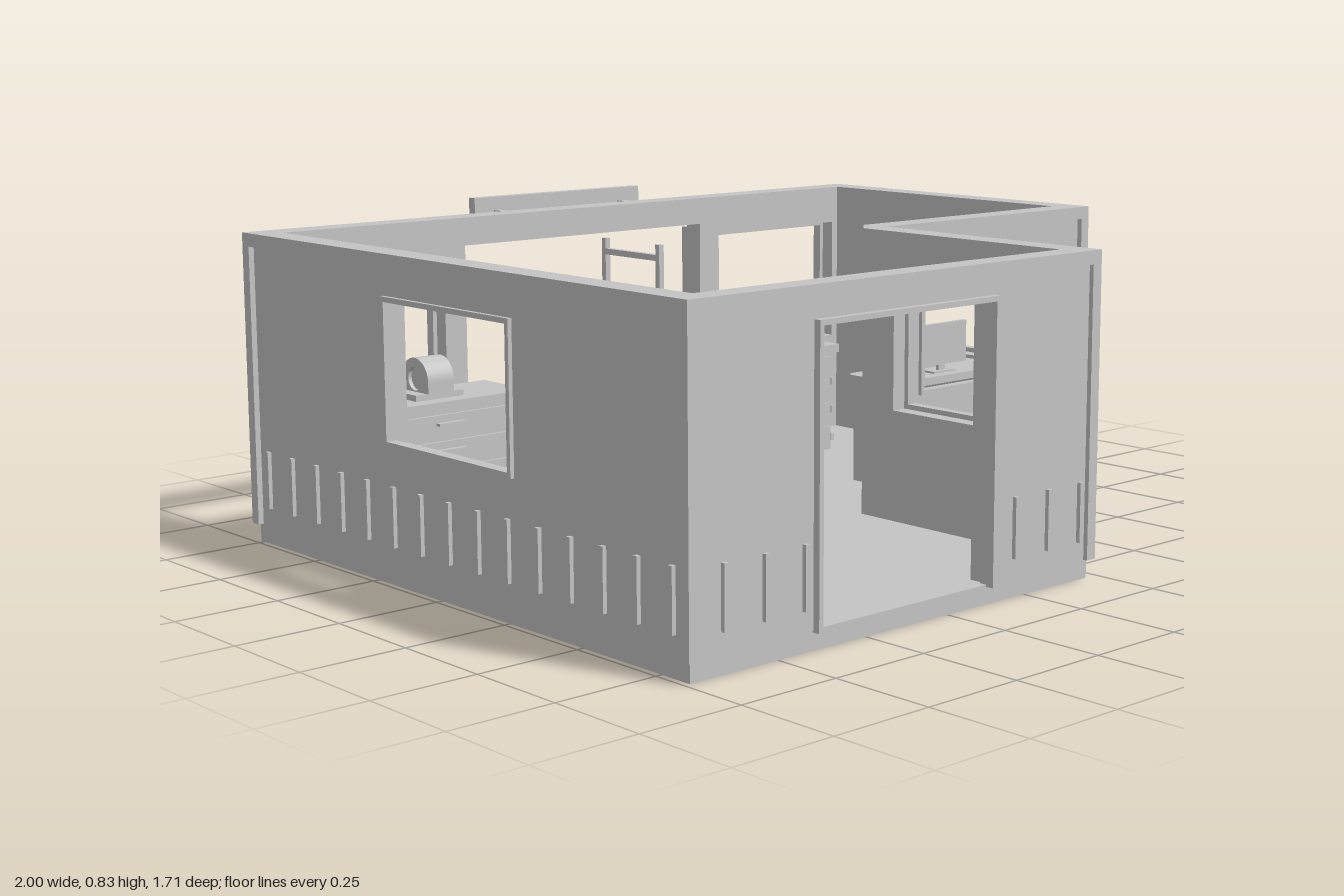
import * as THREE from 'three';

const grey = new THREE.MeshStandardMaterial({ color: 0xc4c4c4 });
grey.name = 'light grey';

function add(parent, geometry, name) {
  const mesh = new THREE.Mesh(geometry, grey);
  mesh.name = name;
  parent.add(mesh);
  return mesh;
}

// box given by its limits on each axis
function box(parent, name, x0, x1, y0, y1, z0, z1) {
  const m = add(parent, new THREE.BoxGeometry(x1 - x0, y1 - y0, z1 - z0), name);
  m.position.set((x0 + x1) / 2, (y0 + y1) / 2, (z0 + z1) / 2);
  return m;
}

function group(parent, name) {
  const g = new THREE.Group();
  g.name = name;
  parent.add(g);
  return g;
}

const points = (list) => list.map(([x, y]) => new THREE.Vector2(x, y));

// L-shaped plan, drawn as (x, -z) so it can be laid flat
const outline = (o) => points([
  [-1 + o, -0.85 + o], [0.23 - o, -0.85 + o], [0.23 - o, -0.18 + o],
  [1 - o, -0.18 + o], [1 - o, 0.78 - o], [-1 + o, 0.78 - o],
]);
// room side of the walls, with the inner corner cut off
const room = points([
  [-0.93, -0.785], [0.16, -0.785], [0.16, -0.165], [0.215, -0.11],
  [0.928, -0.11], [0.928, 0.708], [-0.93, 0.708],
]);

function flat(parent, name, shape, y0, y1) {
  const geo = new THREE.ExtrudeGeometry(shape, { depth: y1 - y0, bevelEnabled: false, curveSegments: 6 });
  add(parent, geo.rotateX(-Math.PI / 2), name).position.y = y0;
}

// raised border around an opening
function frame(parent, name, [u0, u1, y0, y1], w, depth, z0) {
  const g = group(parent, name);
  box(g, 'frameSide', u0, u0 + w, y0, y1, z0, z0 + depth);
  box(g, 'frameSide', u1 - w, u1, y0, y1, z0, z0 + depth);
  box(g, 'frameTop', u0, u1, y1 - w, y1, z0, z0 + depth);
  box(g, 'frameSill', u0, u1, y0, y0 + w, z0, z0 + depth);
}

// wall panel whose outer face is the local z = 0 plane, with windows, ribs and a doorway [from, to, top]
function wall(parent, name, u0, u1, windows, ribs, doorway) {
  const g = group(parent, name);
  const edge = [[u0, 0.045]];
  if (doorway) {
    const [a, b, t] = doorway;
    edge.push([a, 0.045], [a, t], [b, t], [b, 0.045]);
  }
  edge.push([u1, 0.045], [u1, 0.73], [u0, 0.73]);
  const shape = new THREE.Shape(points(edge));
  for (const [a, b, c, d] of windows) {
    shape.holes.push(new THREE.Path(points([[a, c], [a, d], [b, d], [b, c]])));
    frame(g, 'windowFrame', [a, b, c, d], 0.012, 0.026, -0.016);
  }
  add(g, new THREE.ExtrudeGeometry(shape, { depth: 0.055, bevelEnabled: false }), 'panel').position.z = -0.055;
  ribs.forEach((u) => box(g, 'rib', u - 0.006, u + 0.006, 0.09, 0.23, 0, 0.01));
  return g;
}

const series = (start, step, n) => Array.from({ length: n }, (_, i) => start + i * step);

// domed drum unit on a flat foot
function drumUnit(parent, x) {
  const g = group(parent, 'drumUnit');
  box(g, 'foot', x - 0.07, x + 0.07, 0.345, 0.36, -0.605, -0.5);
  const s = new THREE.Shape();
  s.moveTo(-0.056, 0).lineTo(0.056, 0).lineTo(0.056, 0.028);
  s.absarc(0, 0.028, 0.056, 0, Math.PI, false);
  s.lineTo(-0.056, 0);
  const hole = new THREE.Path();
  hole.absarc(0, 0.032, 0.029, 0, Math.PI * 2, true);
  s.holes.push(hole);
  const geo = new THREE.ExtrudeGeometry(s, { depth: 0.076, bevelEnabled: false, curveSegments: 16 });
  const shell = add(g, geo.rotateY(Math.PI / 2), 'drumShell');
  shell.position.set(x - 0.038, 0.36, -0.55);
  const core = add(g, new THREE.CylinderGeometry(0.03, 0.03, 0.056, 24).rotateZ(Math.PI / 2), 'drumCore');
  core.position.set(x, 0.392, -0.55);
}

// chest of drawers with a drum unit on top
function chest(parent, x0) {
  const g = group(parent, 'drawerChest');
  const x1 = x0 + 0.475;
  const mid = (x0 + x1) / 2;
  box(g, 'chestTop', x0, x1, 0.322, 0.345, -0.645, -0.455);
  box(g, 'chestBody', x0 + 0.02, x1 - 0.02, 0.045, 0.322, -0.635, -0.468);
  for (let i = 0; i < 4; i++) {
    const y = 0.055 + i * 0.066;
    box(g, 'drawerFront', x0 + 0.03, x1 - 0.03, y, y + 0.059, -0.468, -0.46);
    box(g, 'drawerHandle', mid - 0.04, mid + 0.04, y + 0.034, y + 0.041, -0.46, -0.445);
  }
  for (const y of [0.08, 0.16, 0.24]) {
    box(g, 'sideBump', x1 - 0.02, x1 - 0.008, y - 0.01, y + 0.01, -0.49, -0.465);
  }
  drumUnit(g, mid);
}

export function createModel() {
  const model = new THREE.Group();
  model.name = 'building';

  // floor and wall cap
  flat(model, 'floor', new THREE.Shape(outline(0.015)), 0, 0.045);
  const cap = new THREE.Shape(outline(0.001));
  cap.holes.push(new THREE.Path([...room].reverse()));
  flat(model, 'wallCap', cap, 0.725, 0.757);

  // walls
  const front = wall(model, 'frontWall', -0.985, 0.215, [], [-0.9, -0.79, -0.68, -0.04, 0.07, 0.18], [-0.65, -0.12, 0.68]);
  front.position.z = 0.838;
  box(front, 'doorJamb', -0.655, -0.643, 0.04, 0.685, -0.02, 0.017);
  box(front, 'doorJamb', -0.127, -0.115, 0.04, 0.685, -0.02, 0.017);
  box(front, 'doorHead', -0.655, -0.115, 0.673, 0.685, -0.02, 0.017);

  wall(model, 'wingFrontWall', 0.215, 0.985, [[0.36, 0.84, 0.32, 0.66]], series(0.28, 0.108, 7)).position.z = 0.165;

  const rightFront = wall(model, 'rightFrontWall', -0.838, -0.165, [[-0.75, -0.27, 0.32, 0.66]], series(-0.76, 0.108, 6));
  rightFront.position.x = 0.215;
  rightFront.rotation.y = Math.PI / 2;

  const wingSide = wall(model, 'wingSideWall', -0.165, 0.765, [[0.055, 0.535, 0.32, 0.66]], series(-0.06, 0.108, 8));
  wingSide.position.x = 0.985;
  wingSide.rotation.y = Math.PI / 2;

  const left = wall(model, 'leftWall', -0.765, 0.838, [[-0.2, 0.275, 0.32, 0.66]], series(-0.71, 0.107, 15));
  left.position.x = -0.985;
  left.rotation.y = -Math.PI / 2;

  const back = wall(model, 'backWall', -0.985, 0.985, [[-0.91, -0.465, 0.32, 0.655], [0.465, 0.91, 0.32, 0.655]],
    [...series(-0.92, 0.108, 5), ...series(0.488, 0.108, 5)], [-0.395, 0.4, 0.685]);
  back.position.z = -0.765;
  back.rotation.y = Math.PI;

  // inner corner fill and corner posts
  const wedge = new THREE.Shape(points([[0.16, -0.165], [0.215, -0.165], [0.215, -0.11]]));
  flat(model, 'cornerFill', wedge, 0.045, 0.73);
  for (const [x, z] of [[-0.985, 0.835], [0.215, 0.835], [0.985, 0.165], [0.985, -0.765], [-0.985, -0.765], [0.222, 0.172]]) {
    box(model, 'cornerPost', x - 0.014, x + 0.014, 0.045, 0.756, z - 0.014, z + 0.014);
  }

  // rear opening jambs and sign board
  for (const s of [-1, 1]) {
    box(model, 'rearJamb', s * 0.42 - 0.013, s * 0.42 + 0.013, 0.005, 0.67, -0.8, -0.76);
    box(model, 'signBracket', s * 0.208 - 0.01, s * 0.208 + 0.01, 0.715, 0.755, -0.834, -0.77);
  }
  box(model, 'signBoard', -0.28, 0.275, 0.675, 0.79, -0.857, -0.832);

  // chests, with a tray of round knobs on the right one
  chest(model, -0.87);
  chest(model, 0.215);
  box(model, 'tray', 0.29, 0.615, 0.345, 0.355, -0.622, -0.57);
  for (const x of [0.345, 0.4, 0.5, 0.555]) {
    const knob = add(model, new THREE.CylinderGeometry(0.016, 0.02, 0.02, 16), 'knob');
    knob.position.set(x, 0.364, -0.597);
  }

  // rounded table with side panels, screen and keyboard
  const table = group(model, 'table');
  const [a, b, c, d, r] = [0.41, 0.84, -0.045, 0.145, 0.025];
  const top = new THREE.Shape();
  top.absarc(b - r, d - r, r, 0, Math.PI / 2);
  top.absarc(a + r, d - r, r, Math.PI / 2, Math.PI);
  top.absarc(a + r, c + r, r, Math.PI, Math.PI * 1.5);
  top.absarc(b - r, c + r, r, Math.PI * 1.5, Math.PI * 2);
  flat(table, 'tableTop', top, 0.31, 0.33);
  for (const x of [0.425, 0.805]) box(table, 'sidePanel', x, x + 0.02, 0.045, 0.31, -0.13, 0.03);
  box(table, 'keyboard', 0.55, 0.7, 0.33, 0.337, -0.12, -0.065);
  box(table, 'screen', 0.53, 0.715, 0.35, 0.46, -0.01, 0.002);
  box(table, 'screenStand', 0.61, 0.635, 0.33, 0.36, -0.008, 0);
  box(table, 'screenFoot', 0.58, 0.665, 0.33, 0.335, -0.02, 0.012);

  // wall ladder
  const ladder = group(model, 'ladder');
  for (const z of [0.43, 0.6]) {
    box(ladder, 'rail', -0.862, -0.85, 0.045, 0.83, z - 0.006, z + 0.006);
    for (const y of [0.12, 0.4, 0.69]) box(ladder, 'wallBracket', -0.93, -0.855, y - 0.005, y + 0.005, z - 0.004, z + 0.004);
  }
  for (const y of series(0.128, 0.075, 10)) box(ladder, 'rung', -0.862, -0.85, y - 0.006, y + 0.006, 0.43, 0.6);

  return model;
}
